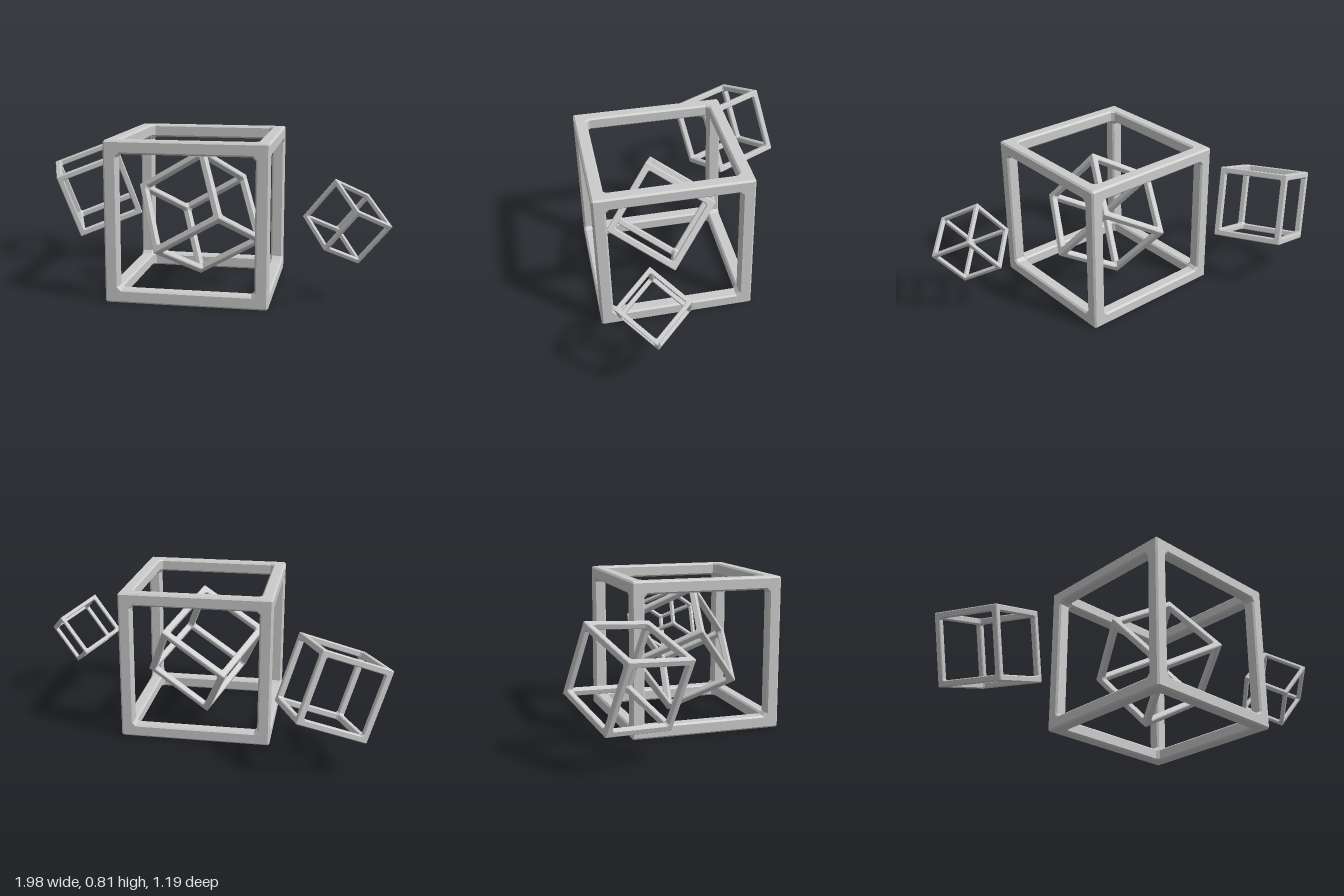
import * as THREE from 'three';

const BAR = 0.083;    // bar thickness of a unit cube frame
const BEVEL = 0.011;  // chamfer along every edge

// Square outline with cut corners
function square(target, half, cut) {
  const k = half - cut;
  const pts = [[k, -half], [half, -k], [half, k], [k, half], [-k, half], [-half, k], [-half, -k], [-k, -half]];
  target.setFromPoints(pts.map(([x, y]) => new THREE.Vector2(x, y)));
  return target;
}

// One side of a unit cube: a chamfered square ring, outer face at z = 0.5
function sideGeometry() {
  const shape = square(new THREE.Shape(), 0.5, BEVEL);
  shape.holes.push(square(new THREE.Path(), 0.5 - BAR, 0.02));
  const geometry = new THREE.ExtrudeGeometry(shape, {
    depth: BAR - 2 * BEVEL,
    bevelEnabled: true,
    bevelSegments: 1,
    bevelSize: BEVEL,
    bevelThickness: BEVEL,
    bevelOffset: -BEVEL,
  });
  return geometry.translate(0, 0, 0.5 - BAR + BEVEL);
}

// Six rings make an open cube frame; edgeA and edgeB set its orientation
function cubeFrame(name, ring, material, { size, center, edgeA, edgeB }) {
  const frame = new THREE.Group();
  frame.name = name;
  const sides = {
    front: [0, 0], back: [0, Math.PI],
    left: [0, Math.PI / 2], right: [0, -Math.PI / 2],
    top: [-Math.PI / 2, 0], bottom: [Math.PI / 2, 0],
  };
  for (const [side, [rx, ry]] of Object.entries(sides)) {
    const mesh = new THREE.Mesh(ring, material);
    mesh.name = `${side}Ring`;
    mesh.rotation.set(rx, ry, 0);
    frame.add(mesh);
  }
  const x = new THREE.Vector3(...edgeA).normalize();
  const z = x.clone().cross(new THREE.Vector3(...edgeB)).normalize();
  const y = z.clone().cross(x);
  frame.quaternion.setFromRotationMatrix(new THREE.Matrix4().makeBasis(x, y, z));
  frame.position.set(...center);
  frame.scale.setScalar(size);
  return frame;
}

export function createModel() {
  const model = new THREE.Group();
  model.name = 'cubeFrames';
  const material = new THREE.MeshStandardMaterial({ color: 0xcccccc, flatShading: true });
  const ring = sideGeometry();

  const frames = {
    // Upright main cube
    outerCube: { size: 0.806, center: [0.015, 0.403, 0.196], edgeA: [1, 0, 0], edgeB: [0, 1, 0] },
    // Tilted cube inside it
    innerCube: { size: 0.418, center: [0.02, 0.385, 0.194], edgeA: [0.182, -0.185, -0.33], edgeB: [-0.353, -0.214, -0.08] },
    // Small floating cube on the left
    smallCube: { size: 0.255, center: [0.775, 0.406, 0.375], edgeA: [0.155, 0.197, 0.032], edgeB: [0.108, -0.132, 0.188] },
    // Floating cube behind on the right
    rearCube: { size: 0.382, center: [-0.703, 0.41, -0.321], edgeA: [0.338, 0.13, -0.114], edgeB: [0.115, -0.354, -0.08] },
  };
  for (const [name, spec] of Object.entries(frames)) model.add(cubeFrame(name, ring, material, spec));
  return model;
}
